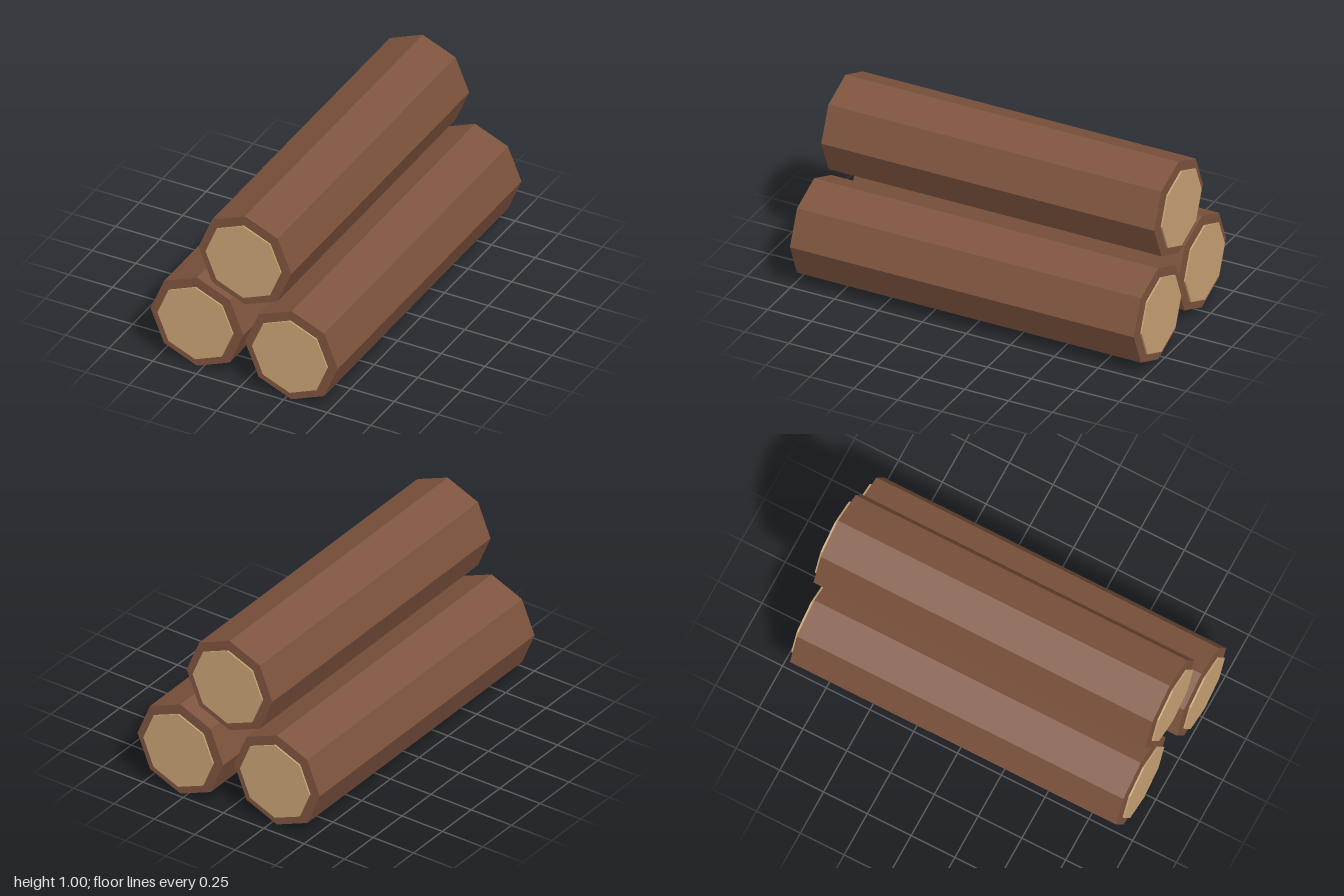
import * as THREE from 'three';

const bark = new THREE.MeshStandardMaterial({ color: 0x7d533d, flatShading: true });
bark.name = 'bark brown';
const cutWood = new THREE.MeshStandardMaterial({ color: 0xc8a274, flatShading: true });
cutWood.name = 'cut wood tan';

const SIDES = 8;
const LOG_RADIUS = 0.266;
const CUT_RADIUS = 0.216;
const CUT_THICKNESS = 0.009;
const CUT_OFFSET = 0.015; // plate centre beyond the end of the log

// Octagonal prism lying along z, with a corner pointing straight up
function prism(name, radius, length, material) {
  const geometry = new THREE.CylinderGeometry(radius, radius, length, SIDES);
  geometry.rotateX(Math.PI / 2);
  const mesh = new THREE.Mesh(geometry, material);
  mesh.name = name;
  return mesh;
}

// One log: bark body with a pale cut plate at each end
function createLog(name, x, y, length) {
  const log = new THREE.Group();
  log.name = name;
  log.add(prism('barkBody', LOG_RADIUS, length, bark));
  for (const [end, side] of [['frontCut', 1], ['backCut', -1]]) {
    const cut = prism(end, CUT_RADIUS, CUT_THICKNESS, cutWood);
    cut.position.z = side * (length / 2 + CUT_OFFSET);
    log.add(cut);
  }
  log.position.set(x, y, 0);
  return log;
}

export function createModel() {
  const model = new THREE.Group();
  model.name = 'logPile';
  model.add(
    createLog('leftLog', 0.283, 0.268, 1.956),
    createLog('rightLog', -0.283, 0.268, 1.864),
    createLog('topLog', 0, 0.735, 1.894),
  );
  return model;
}
